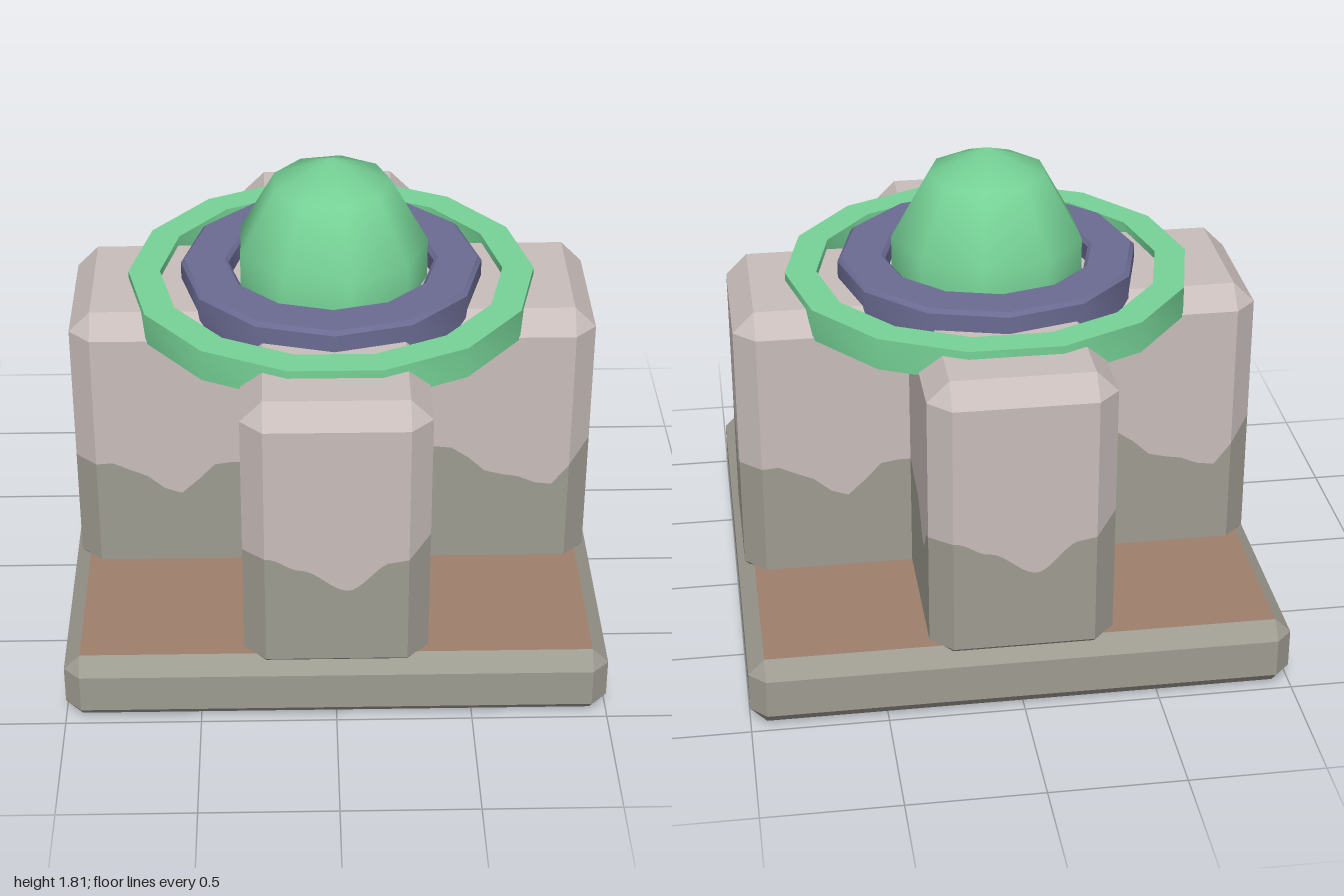
import * as THREE from 'three';
import { toCreasedNormals } from 'three/addons/utils/BufferGeometryUtils.js';

const mat = (name, color) => Object.assign(new THREE.MeshStandardMaterial({ color }), { name });

// Wavy border heights as [position, height], for faces looking along z and along x
const WAVE_Z = [[-0.98, 0.7], [-0.82, 0.71], [-0.73, 0.66], [-0.59, 0.57], [-0.42, 0.71], [-0.25, 0.71],
  [-0.13, 0.66], [0.04, 0.57], [0.2, 0.69], [0.26, 0.7], [0.34, 0.75], [0.41, 0.78], [0.48, 0.75],
  [0.56, 0.66], [0.66, 0.64], [0.82, 0.59], [0.9, 0.68], [0.98, 0.77]];
const WAVE_X = [[-0.98, 0.71], [-0.87, 0.7], [-0.74, 0.57], [-0.58, 0.69], [-0.45, 0.7], [-0.34, 0.72],
  [-0.24, 0.7], [-0.06, 0.57], [0.06, 0.68], [0.2, 0.7], [0.28, 0.77], [0.34, 0.7], [0.43, 0.63],
  [0.52, 0.65], [0.65, 0.59], [0.76, 0.64], [0.89, 0.76], [0.98, 0.72]];

function wave(table, p) {
  let i = 0;
  while (i < table.length - 2 && p > table[i + 1][0]) i++;
  const t = THREE.MathUtils.clamp((p - table[i][0]) / (table[i + 1][0] - table[i][0]), 0, 1);
  return THREE.MathUtils.lerp(table[i][1], table[i + 1][1], t * t * (3 - 2 * t));
}

// Eight-sided outline with cut corners; each point carries its border height h
function outline(hx, hz, c, steps) {
  const a = hz - c, b = hx - c;
  const corners = [[hx, -a], [hx, a], [b, hz], [-b, hz], [-hx, a], [-hx, -a], [-b, -hz], [b, -hz]];
  const height = (face, x, z) => face === 0 ? wave(WAVE_X, z) : face === 2 ? wave(WAVE_Z, x)
    : face === 4 ? wave(WAVE_X, -z) : wave(WAVE_Z, -x);
  const points = [];
  corners.forEach(([x0, z0], e) => {
    const [x1, z1] = corners[(e + 1) % 8];
    for (let s = 0; s < steps; s++) {
      const t = s / steps;
      const x = x0 + (x1 - x0) * t, z = z0 + (z1 - z0) * t;
      const h = e % 2 === 0 ? height(e, x, z)
        : THREE.MathUtils.lerp(height(e - 1, x0, z0), height((e + 1) % 8, x1, z1), t);
      points.push({ x, z, h });
    }
  });
  return points;
}

// Flat-faced skin through a stack of closed rings
function loft(rings) {
  const pos = [];
  const tri = (...v) => v.forEach((p) => pos.push(p.x, p.y, p.z));
  for (let r = 0; r < rings.length - 1; r++) {
    const lo = rings[r], hi = rings[r + 1];
    lo.forEach((p, i) => {
      const j = (i + 1) % lo.length;
      if (p.distanceTo(lo[j]) > 1e-6) tri(p, hi[i], lo[j]);
      if (hi[i].distanceTo(hi[j]) > 1e-6) tri(hi[i], hi[j], lo[j]);
    });
  }
  const g = new THREE.BufferGeometry();
  g.setAttribute('position', new THREE.Float32BufferAttribute(pos, 3));
  g.computeVertexNormals();
  return g;
}

function createModel() {
  const model = new THREE.Group();
  const stone = mat('paleStone', 0xc8bdba);
  const weathered = mat('greyStone', 0x9d9b90);
  const soil = mat('brownSoil', 0x9f7f6c);
  const metal = mat('purpleMetal', 0x6b6b93);
  const crystal = mat('greenCrystal', 0x76d296);

  const add = (parent, name, geometry, material) => {
    const mesh = new THREE.Mesh(geometry, material);
    mesh.name = name;
    parent.add(mesh);
    return mesh;
  };
  const clamp = THREE.MathUtils.clamp;
  const ring = (pts, y) => pts.map((p) => new THREE.Vector3(p.x, y, p.z));
  const inset = (pts, hx, hz, y) =>
    pts.map((p) => new THREE.Vector3(clamp(p.x, -hx, hx), y, clamp(p.z, -hz, hz)));
  const cap = (name, parent, w, d, y, up, material) => {
    const m = add(parent, name, new THREE.PlaneGeometry(w, d), material);
    m.rotation.x = up ? -Math.PI / 2 : Math.PI / 2;
    m.position.y = y;
  };

  // Bevelled base slab with soil above and below
  const base = new THREE.Group();
  base.name = 'base';
  model.add(base);
  const slab = outline(1, 1, 0.06, 1);
  add(base, 'baseRim', loft([inset(slab, 0.94, 0.94, 0), ring(slab, 0.06), ring(slab, 0.207),
    inset(slab, 0.94, 0.94, 0.267)]), weathered);
  cap('soilTop', base, 1.88, 1.88, 0.267, true, soil);
  cap('soilUnderside', base, 1.88, 1.88, 0, false, soil);

  // Two crossing bevelled blocks, grey below the wavy border and pale above
  const c = 0.08;
  for (const [name, hx, hz] of [['sideToSideBlock', 0.975, 0.338], ['frontToBackBlock', 0.338, 0.975]]) {
    const block = new THREE.Group();
    block.name = name;
    model.add(block);
    const pts = outline(hx, hz, c, 28);
    const border = pts.map((p) => new THREE.Vector3(p.x, p.h, p.z));
    add(block, 'lowerWall', loft([inset(pts, hx - c, hz - c, 0.19), ring(pts, 0.267), border]), weathered);
    add(block, 'upperWall', loft([border, ring(pts, 1.24), inset(pts, hx - c, hz - c, 1.32)]), stone);
    cap('blockTop', block, 2 * (hx - c), 2 * (hz - c), 1.32, true, stone);
  }

  // Faceted rings turned from closed profiles
  const turned = (name, profile, sides, material) => {
    const g = new THREE.LatheGeometry(profile.map(([r, y]) => new THREE.Vector2(r, y)), sides);
    add(model, name, toCreasedNormals(g, 0.6), material).rotation.y = Math.PI / 2;
  };
  turned('outerRing', [[0.645, 1.23], [0.763, 1.23], [0.763, 1.35], [0.645, 1.35], [0.645, 1.23]], 14, crystal);
  turned('innerRing', [[0.4, 1.22], [0.55, 1.22], [0.565, 1.235], [0.565, 1.385], [0.55, 1.4],
    [0.4, 1.4], [0.385, 1.385], [0.385, 1.235], [0.4, 1.22]], 12, metal);

  // Tall low-sided dome in the middle
  const dome = add(model, 'dome', new THREE.SphereGeometry(0.38, 9, 5), crystal);
  dome.scale.y = 1.28;
  dome.rotation.y = Math.PI;
  dome.position.y = 1.325;

  return model;
}

export { createModel };
